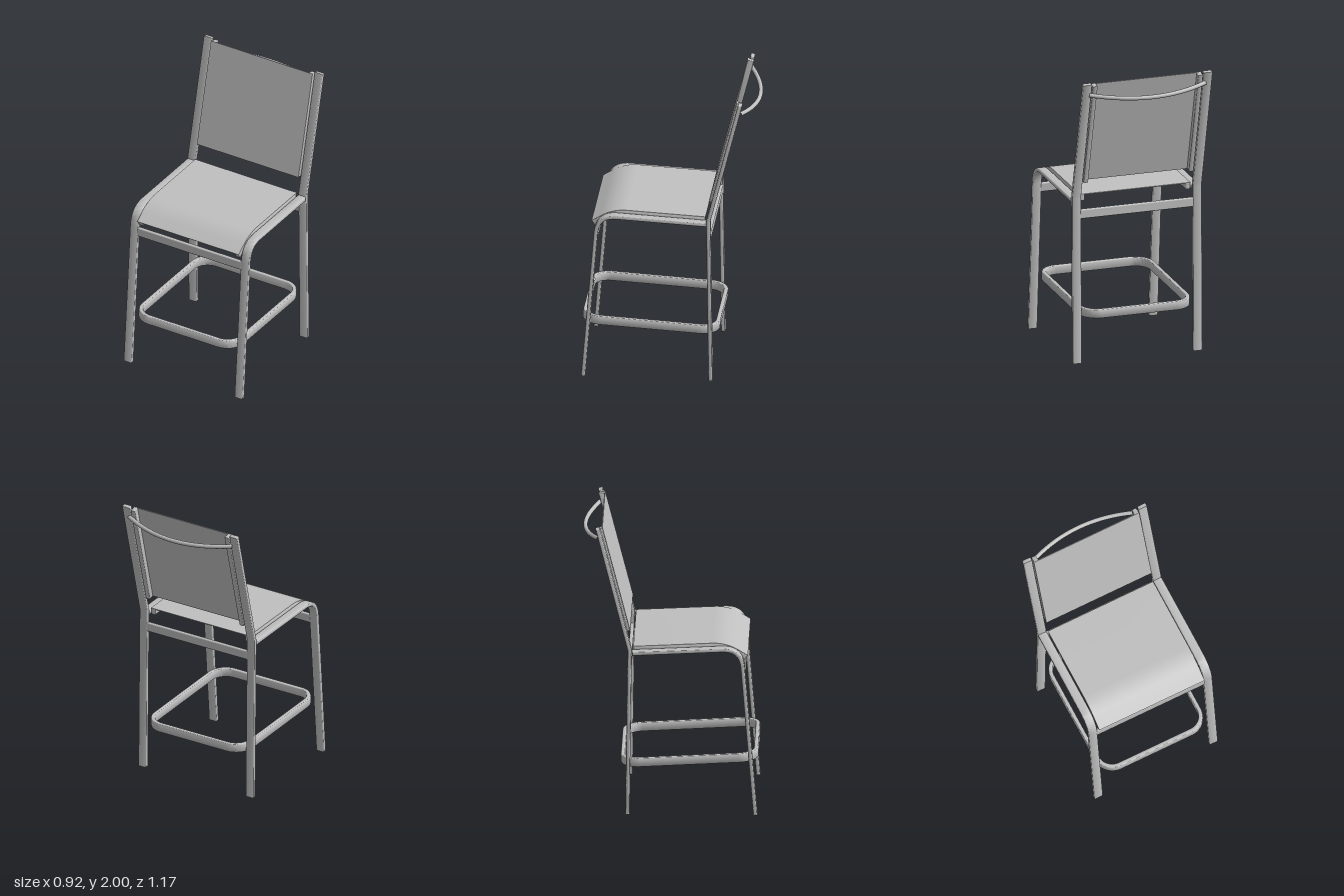
import * as THREE from 'three';
import { toCreasedNormals } from 'three/addons/utils/BufferGeometryUtils.js';
import { RoundedBoxGeometry } from 'three/addons/geometries/RoundedBoxGeometry.js';

const V = (z, y) => new THREE.Vector2(z, y);

// Side-view path (z, y) with one softened corner
function bentPath(a, corner, b, cut) {
  const p = corner.clone().add(a.clone().sub(corner).setLength(cut));
  const q = corner.clone().add(b.clone().sub(corner).setLength(cut));
  return [a, ...new THREE.QuadraticBezierCurve(p, corner, q).getPoints(14), b];
}

// Points moved sideways from a path, mitred at the corners
function offsetPath(path, d) {
  return path.map((p, i) => {
    const before = path[Math.max(i - 1, 0)], after = path[Math.min(i + 1, path.length - 1)];
    const d1 = (i ? p.clone().sub(before) : after.clone().sub(p)).normalize();
    const d2 = (i < path.length - 1 ? after.clone().sub(p) : d1.clone()).normalize();
    const t = d1.clone().add(d2).normalize();
    return V(-t.y, t.x).multiplyScalar(d / t.dot(d1)).add(p);
  });
}

// Bar between two offsets of a path, given a width along x and rounded edges
function strip(path, lo, hi, width, bevel) {
  const shape = new THREE.Shape([...offsetPath(path, lo), ...offsetPath(path, hi).reverse()]);
  const geo = new THREE.ExtrudeGeometry(shape, {
    depth: width - 2 * bevel, bevelEnabled: bevel > 0, bevelSize: bevel,
    bevelThickness: bevel, bevelOffset: -bevel, bevelSegments: 4,
  });
  geo.translate(0, 0, bevel - width / 2).rotateY(-Math.PI / 2);
  return toCreasedNormals(geo, 0.6);
}

function roundedRect(target, w, h, r) {
  const corners = [[1, 1, 0], [-1, 1, 1], [-1, -1, 2], [1, -1, 3]];
  for (const [sx, sy, k] of corners) {
    target.absarc(sx * (w / 2 - r), sy * (h / 2 - r), r, k * Math.PI / 2, (k + 1) * Math.PI / 2, false);
  }
  target.closePath();
  return target;
}

export function createModel() {
  const model = new THREE.Group();
  model.name = 'barChair';
  const grey = new THREE.MeshStandardMaterial({ color: 0xc0c0c0 });
  grey.name = 'light grey';
  const add = (name, geo, x = 0, y = 0, z = 0) => {
    const mesh = new THREE.Mesh(geo, grey);
    mesh.name = name;
    mesh.position.set(x, y, z);
    model.add(mesh);
    return mesh;
  };

  // Side frames: front leg bending into the seat bar, back leg kinking into the post
  const frontPath = bentPath(V(0.566, 0.0012), V(0.471, 1.163), V(-0.255, 1.127), 0.13);
  const backPath = [V(-0.286, 0.0005), V(-0.271, 1.15), V(-0.484, 1.9966)];
  // Sling rails
  const seatPath = bentPath(V(-0.246, 1.138), V(0.366, 1.168), V(0.503, 1.083), 0.09);
  const restPath = [V(-0.475, 1.985), V(-0.29, 1.263)];

  for (const [side, s] of [['left', 1], ['right', -1]]) {
    add(side + 'FrontLegAndSeatBar', strip(frontPath, -0.014, 0.014, 0.064, 0.009), s * 0.428);
    add(side + 'BackLegAndPost', strip(backPath, -0.014, 0.014, 0.064, 0.009), s * 0.428);
    add(side + 'SeatRail', strip(seatPath, -0.0225, 0.018, 0.034, 0.006), s * 0.374);
    add(side + 'BackrestRail', strip(restPath, -0.0225, 0.018, 0.034, 0.006), s * 0.374);
  }

  // Sling panels stretched over the rails
  add('seatSling', strip(seatPath, 0.0165, 0.0225, 0.784, 0));
  add('backrestSling', strip(restPath, 0.0165, 0.0225, 0.784, 0));

  // Crossbars under the seat
  const bar = () => new RoundedBoxGeometry(0.81, 0.065, 0.026, 4, 0.009);
  add('frontCrossbar', bar(), 0, 1.003, 0.484).rotation.x = -0.082;
  add('backCrossbar', bar(), 0, 1.032, -0.2725);

  // Footrest hoop, tilted up toward the front
  const hoop = roundedRect(new THREE.Shape(), 0.79, 0.918, 0.13);
  hoop.holes.push(roundedRect(new THREE.Path(), 0.73, 0.858, 0.1));
  const hoopGeo = new THREE.ExtrudeGeometry(hoop, {
    depth: 0.045, bevelEnabled: true, bevelSize: 0.009, bevelThickness: 0.009,
    bevelOffset: -0.009, bevelSegments: 4, curveSegments: 14,
  });
  hoopGeo.translate(0, 0, -0.0225).rotateX(-Math.PI / 2);
  add('footrestHoop', toCreasedNormals(hoopGeo, 0.6), 0, 0.364, 0.125).rotation.x = -0.055;

  // Bowed handle behind the backrest
  const bow = new THREE.QuadraticBezierCurve3(
    new THREE.Vector3(-0.41, 1.918, -0.478),
    new THREE.Vector3(0, 1.862, -0.672),
    new THREE.Vector3(0.41, 1.918, -0.478));
  add('backHandle', new THREE.TubeGeometry(bow, 40, 0.0145, 14));

  return model;
}
